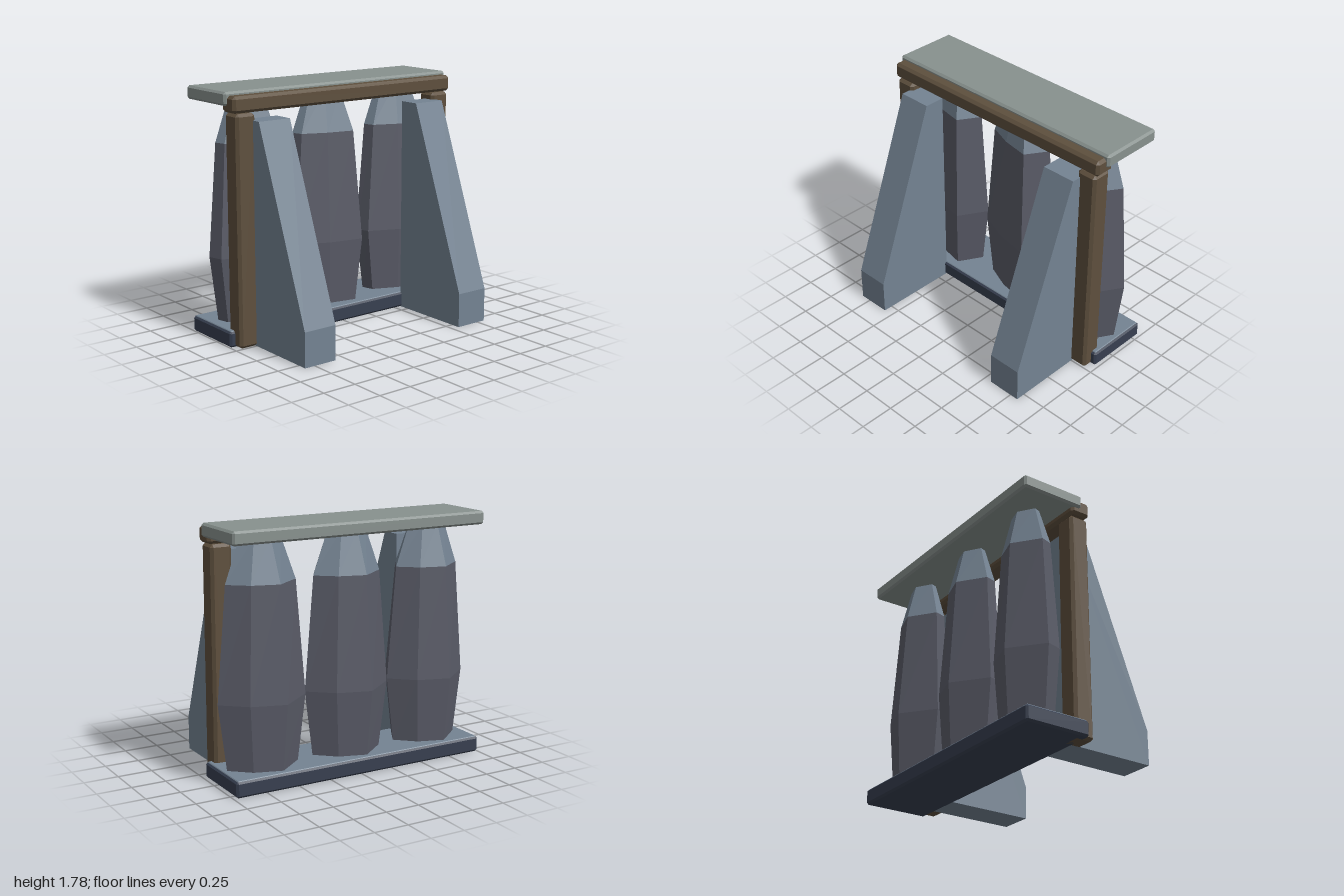
import * as THREE from 'three';
import { ConvexGeometry } from 'three/addons/geometries/ConvexGeometry.js';

const material = (color) => new THREE.MeshStandardMaterial({ color, flatShading: true });

// Box between two corners with every edge chamfered by c
function chamferBox(name, [x0, y0, z0], [x1, y1, z1], c, mat) {
  const points = [];
  for (const [x, sx] of [[x0, c], [x1, -c]])
    for (const [y, sy] of [[y0, c], [y1, -c]])
      for (const [z, sz] of [[z0, c], [z1, -c]])
        points.push(
          new THREE.Vector3(x, y + sy, z + sz),
          new THREE.Vector3(x + sx, y, z + sz),
          new THREE.Vector3(x + sx, y + sy, z)
        );
  const mesh = new THREE.Mesh(new ConvexGeometry(points), mat);
  mesh.name = name;
  return mesh;
}

// Uneven seven-sided outline of a stone column: [x, z], running from +x towards +z
const OUTLINE = [
  [0.33, 0], [0.2, 0.215], [-0.06, 0.165], [-0.29, 0.07],
  [-0.32, -0.04], [-0.08, -0.225], [0.16, -0.15]
];

// Joins scaled outlines ([y, scaleX, scaleZ]) into a closed faceted solid
function stoneGeometry(rings) {
  const positions = [], index = [], n = OUTLINE.length;
  for (const [y, sx, sz] of rings)
    for (const [x, z] of OUTLINE) positions.push(x * sx, y, z * sz);
  for (let r = 0; r < rings.length - 1; r++)
    for (let i = 0; i < n; i++) {
      const a = r * n + i, b = r * n + (i + 1) % n;
      index.push(a, a + n, b, b, a + n, b + n);
    }
  const top = (rings.length - 1) * n;
  for (let i = 1; i < n - 1; i++) {
    index.push(0, i, i + 1);
    index.push(top, top + i + 1, top + i);
  }
  const geometry = new THREE.BufferGeometry();
  geometry.setAttribute('position', new THREE.Float32BufferAttribute(positions, 3));
  geometry.setIndex(index);
  const flat = geometry.toNonIndexed();
  flat.computeVertexNormals();
  return flat;
}

export function createModel() {
  const model = new THREE.Group();
  model.name = 'stoneGate';
  const wood = material(0x5e4f3d);
  const blueStone = material(0x748392);
  const darkStone = material(0x373f50);
  const columnStone = material(0x595b67);
  const paleStone = material(0x88918e);

  // Base slab with a lighter top face
  model.add(chamferBox('baseSlab', [-1, 0, -0.565], [0.98, 0.115, -0.07], 0.015, darkStone));
  model.add(chamferBox('baseTop', [-0.988, 0.1, -0.553], [0.968, 0.118, -0.082], 0.005, blueStone));

  // Roof slab
  model.add(chamferBox('roofSlab', [-1, 1.69, -0.565], [0.98, 1.785, -0.08], 0.015, paleStone));

  // Timber frame
  model.add(chamferBox('beam', [-0.98, 1.645, -0.15], [0.96, 1.76, 0], 0.02, wood));
  for (const [name, x] of [['rightPost', -0.96], ['leftPost', 0.785]])
    model.add(chamferBox(name, [x, 0, -0.15], [x + 0.155, 1.64, 0], 0.02, wood));

  // Sloping buttresses: side profile in (z, y), extruded across x
  const profile = new THREE.Shape([
    [-0.085, 0], [0.57, 0], [0.57, 0.25], [0.07, 1.59], [-0.085, 1.59]
  ].map(([z, y]) => new THREE.Vector2(-z, y)));
  const buttress = new THREE.ExtrudeGeometry(profile, { depth: 0.255, bevelEnabled: false });
  buttress.rotateY(Math.PI / 2);
  for (const [name, x] of [['rightButtress', -0.83], ['leftButtress', 0.56]]) {
    const mesh = new THREE.Mesh(buttress, blueStone);
    mesh.name = name;
    mesh.position.x = x;
    model.add(mesh);
  }

  // Three bulging stone columns with tapered caps
  const shoulder = [1.4, 0.79, 0.75];
  const body = stoneGeometry([[0.1, 0.81, 0.83], [0.59, 1, 1], shoulder]);
  const cap = stoneGeometry([shoulder, [1.7, 0.46, 0.39]]);
  for (const [name, x, width] of [['right', -0.665, 0.96], ['middle', 0, 1], ['left', 0.667, 1]]) {
    const column = new THREE.Group();
    column.name = name + 'Column';
    for (const [part, geometry, mat] of [['columnBody', body, columnStone], ['columnCap', cap, blueStone]]) {
      const mesh = new THREE.Mesh(geometry, mat);
      mesh.name = part;
      column.add(mesh);
    }
    column.position.set(x, 0, -0.325);
    column.scale.x = width;
    model.add(column);
  }
  return model;
}
